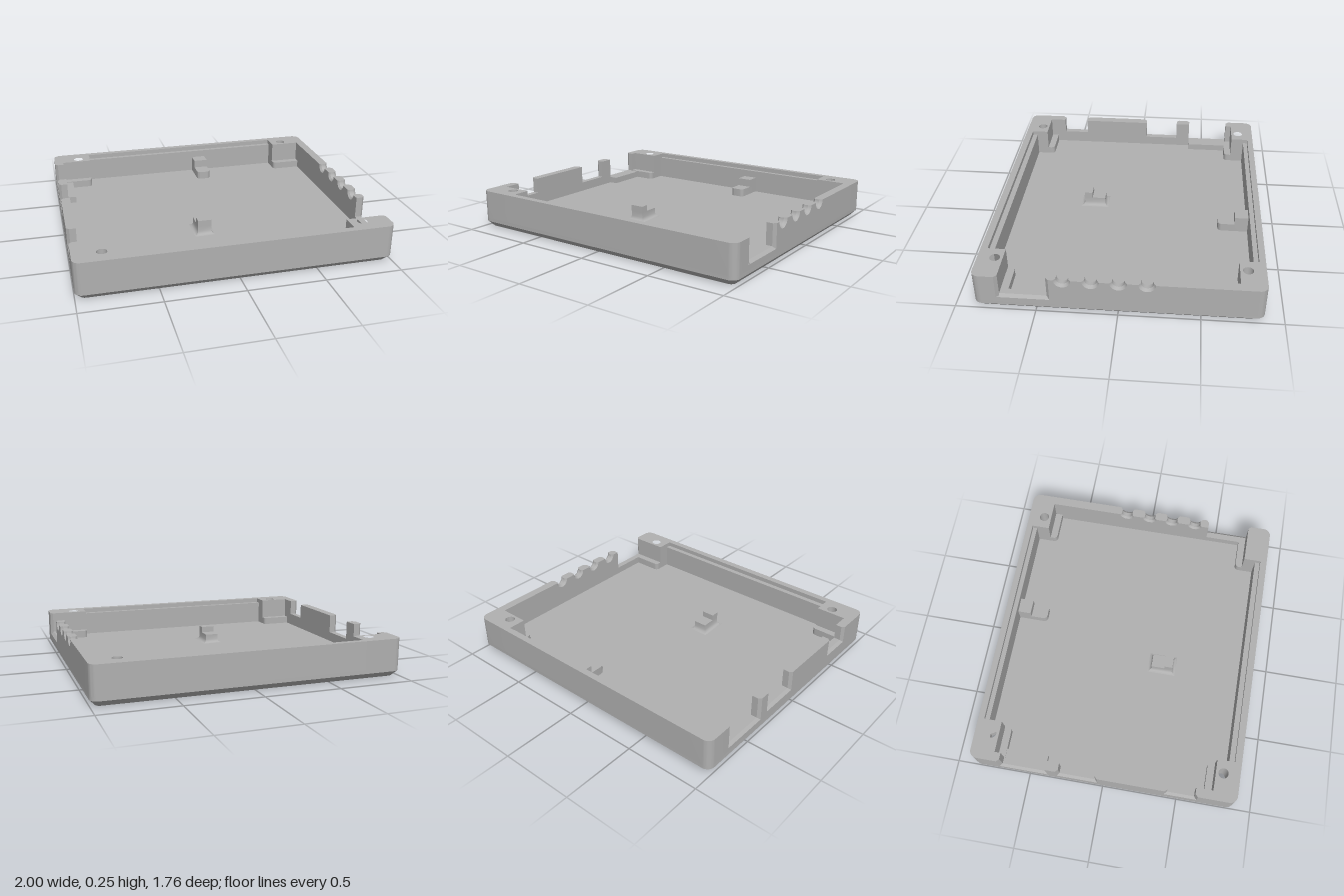
import * as THREE from 'three';
import { toCreasedNormals } from 'three/addons/utils/BufferGeometryUtils.js';

const TOP = 0.25, FLOOR = 0.06, HX = 1, HZ = 0.88;   // tray height, floor level, half sizes
const WALL = 0.94, POST_X = 0.735, POST_Z = 0.72;    // inner side wall, corner post edges
const V = (x, y) => new THREE.Vector2(x, y);

// Solid through matching cross-sections [w, points]; holes run straight through
function loft(sections, holes = []) {
  const pos = [];
  const put = (p, w) => pos.push(p.x, p.y, w);
  const sides = (a, wa, b, wb) => a.forEach((p, i) => {
    const j = (i + 1) % a.length;
    put(p, wa); put(a[j], wa); put(b[j], wb);
    put(p, wa); put(b[j], wb); put(b[i], wb);
  });
  for (let k = 0; k < sections.length - 1; k++) {
    const [wa, a] = sections[k], [wb, b] = sections[k + 1];
    sides(a, wa, b, wb);
    holes.forEach(h => sides(h, wa, h, wb));
  }
  const cap = ([w, pts], flip) => {
    const all = pts.concat(...holes);
    for (const t of THREE.ShapeUtils.triangulateShape(pts.slice(), holes.map(h => h.slice()))) {
      (flip ? [t[0], t[2], t[1]] : t).forEach(i => put(all[i], w));
    }
  };
  cap(sections[0], true);
  cap(sections[sections.length - 1], false);
  const g = new THREE.BufferGeometry();
  g.setAttribute('position', new THREE.Float32BufferAttribute(pos, 3));
  return toCreasedNormals(g, 0.5);
}

// Counter-clockwise rounded rectangle
function roundRect(hx, hz, r) {
  const pts = [];
  [[1, 1], [-1, 1], [-1, -1], [1, -1]].forEach(([sx, sz], c) => {
    for (let i = 0; i <= 6; i++) {
      const a = (c + i / 6) * Math.PI / 2;
      pts.push(V(sx * (hx - r) + r * Math.cos(a), sz * (hz - r) + r * Math.sin(a)));
    }
  });
  return pts;
}

const rect = (x0, x1, z0, z1) => [V(x0, -z1), V(x1, -z1), V(x1, -z0), V(x0, -z0)];

// Side wall outline with square notches and round cable grooves; d widens them for chamfers
function wallOutline(notches, dNotch, dCable) {
  const pts = [V(-POST_Z, FLOOR), V(POST_Z, FLOOR), V(POST_Z, TOP)];
  let closed = true;
  for (const n of notches) {
    if (n.r) {
      const r = n.r + dCable;
      for (let i = 0; i <= 12; i++) {
        const a = -Math.PI * i / 12;
        pts.push(V(n.u + r * Math.cos(a), TOP + r * Math.sin(a)));
      }
    } else {
      pts.push(V(n.u1 + dNotch, TOP), V(n.u1 + dNotch, n.y - dNotch));
      if (n.open) { pts.push(V(-POST_Z, n.y - dNotch)); closed = false; }
      else pts.push(V(n.u0 - dNotch, n.y - dNotch), V(n.u0 - dNotch, TOP));
    }
  }
  if (closed) pts.push(V(-POST_Z, TOP));
  return pts;
}

const sideWall = notches => loft([
  [WALL, wallOutline(notches, 0, 0.012)],
  [WALL + 0.012, wallOutline(notches, 0, 0)],
  [HX - 0.018, wallOutline(notches, 0, 0)],
  [HX, wallOutline(notches, 0.018, 0.014)],
]);

export function createModel() {
  const model = new THREE.Group();
  const grey = new THREE.MeshStandardMaterial({ color: 0xb0b0b0 });
  grey.name = 'plain grey';

  const add = (name, geo) => {
    const m = new THREE.Mesh(geo, grey);
    m.name = name;
    model.add(m);
    return m;
  };
  const box = (name, x0, x1, y0, y1, z0, z1) => {
    const m = add(name, new THREE.BoxGeometry(x1 - x0, y1 - y0, z1 - z0));
    m.position.set((x0 + x1) / 2, (y0 + y1) / 2, (z0 + z1) / 2);
  };
  const upright = g => g.rotateX(-Math.PI / 2);
  const plate = (name, shape, y0, y1) => {
    const g = new THREE.ExtrudeGeometry(shape, { depth: y1 - y0, bevelEnabled: false, curveSegments: 12 });
    add(name, toCreasedNormals(upright(g).translate(0, y0, 0), 0.5));
  };

  const corners = [[1, 1], [1, -1], [-1, 1], [-1, -1]];

  // Base with chamfered lower edge and hexagonal nut pockets
  const pockets = corners.map(([sx, sz]) => Array.from({ length: 6 }, (_, i) => {
    const a = -i * Math.PI / 3;
    return V(sx * 0.82 + 0.055 * Math.cos(a), sz * 0.77 + 0.055 * Math.sin(a));
  }));
  const full = roundRect(HX, HZ, 0.05);
  add('base', upright(loft([
    [0, roundRect(HX - 0.035, HZ - 0.035, 0.03)], [0.037, full], [FLOOR, full],
  ], pockets)));

  // Corner screw posts with a lower ledge on the inside
  for (const [sx, sz] of corners) {
    const s = new THREE.Shape();
    const P = (x, z) => [sx * x, -sz * z];
    s.moveTo(...P(POST_X, POST_Z));
    if (sx > 0 && sz > 0) {           // chamfer beside the wide opening
      s.lineTo(...P(HX - 0.018, POST_Z));
      s.lineTo(...P(HX, POST_Z + 0.018));
    } else s.lineTo(...P(HX, POST_Z));
    s.lineTo(...P(HX, HZ - 0.05));
    s.bezierCurveTo(...P(HX, HZ - 0.022), ...P(HX - 0.022, HZ), ...P(HX - 0.05, HZ));
    s.lineTo(...P(POST_X, HZ));
    s.closePath();
    s.holes.push(new THREE.Path().absarc(sx * 0.82, -sz * 0.77, 0.033, 0, Math.PI * 2, true));
    plate('cornerPost', s, FLOOR, TOP);

    const l = new THREE.Shape();
    l.moveTo(...P(WALL, POST_Z));
    l.lineTo(...P(WALL, 0.672));
    l.lineTo(...P(POST_X + 0.03, 0.672));
    l.quadraticCurveTo(...P(POST_X, 0.672), ...P(POST_X, 0.702));
    l.lineTo(...P(POST_X, POST_Z));
    l.closePath();
    plate('cornerLedge', l, FLOOR, 0.11);
  }

  // Front and back walls with a stepped lip
  box('frontWall', -POST_X, POST_X, FLOOR, 0.22, 0.80, HZ);
  box('frontLip', -POST_X, POST_X, 0.22, TOP, 0.835, HZ);
  box('backWall', -POST_X, POST_X, FLOOR, 0.22, -HZ, -0.81);
  box('backLip', -POST_X, POST_X, 0.22, TOP, -HZ, -0.84);

  // Wall on +x: four cable grooves and a wide opening
  const cables = [0.175, 0.005, -0.16, -0.33].map(u => ({ u, r: 0.038 }));
  add('leftWall', sideWall([...cables, { u1: -0.43, y: 0.11, open: true }])).rotation.y = Math.PI / 2;
  box('openingSill', 0.975, HX, FLOOR, 0.092, POST_Z, POST_Z + 0.018);

  // Wall on -x: three connector notches and a connector rest
  add('rightWall', sideWall([
    { u0: 0.43, u1: 0.61, y: 0.145 },
    { u0: -0.29, u1: -0.05, y: 0.125 },
    { u0: -0.68, u1: -0.39, y: 0.105 },
  ])).rotation.y = -Math.PI / 2;
  box('connectorRest', -WALL, -0.88, FLOOR, 0.105, -POST_Z, -0.39);

  // Stepped stand on the floor with a flared foot
  const foot = [[FLOOR, 0.024], [0.064, 0.013], [0.071, 0.005], [0.084, 0], [0.12, 0]];
  add('standFoot', upright(loft(foot.map(([y, e]) =>
    [y, rect(-0.14 - e, -0.05 + e, 0.19 - e, 0.335 + e)]))));
  box('standStop', -0.14, -0.05, 0.12, 0.16, 0.28, 0.335);

  // Stepped bracket against the back wall
  const b = new THREE.Shape();
  b.moveTo(0.085, 0.81);
  b.lineTo(0.085, 0.64);
  b.quadraticCurveTo(0.085, 0.608, 0.117, 0.608);
  b.lineTo(0.153, 0.608);
  b.quadraticCurveTo(0.185, 0.608, 0.185, 0.64);
  b.lineTo(0.185, 0.81);
  b.closePath();
  plate('bracketFoot', b, FLOOR, 0.115);
  box('bracketStop', 0.085, 0.185, 0.115, 0.17, -0.81, -0.72);

  return model;
}
